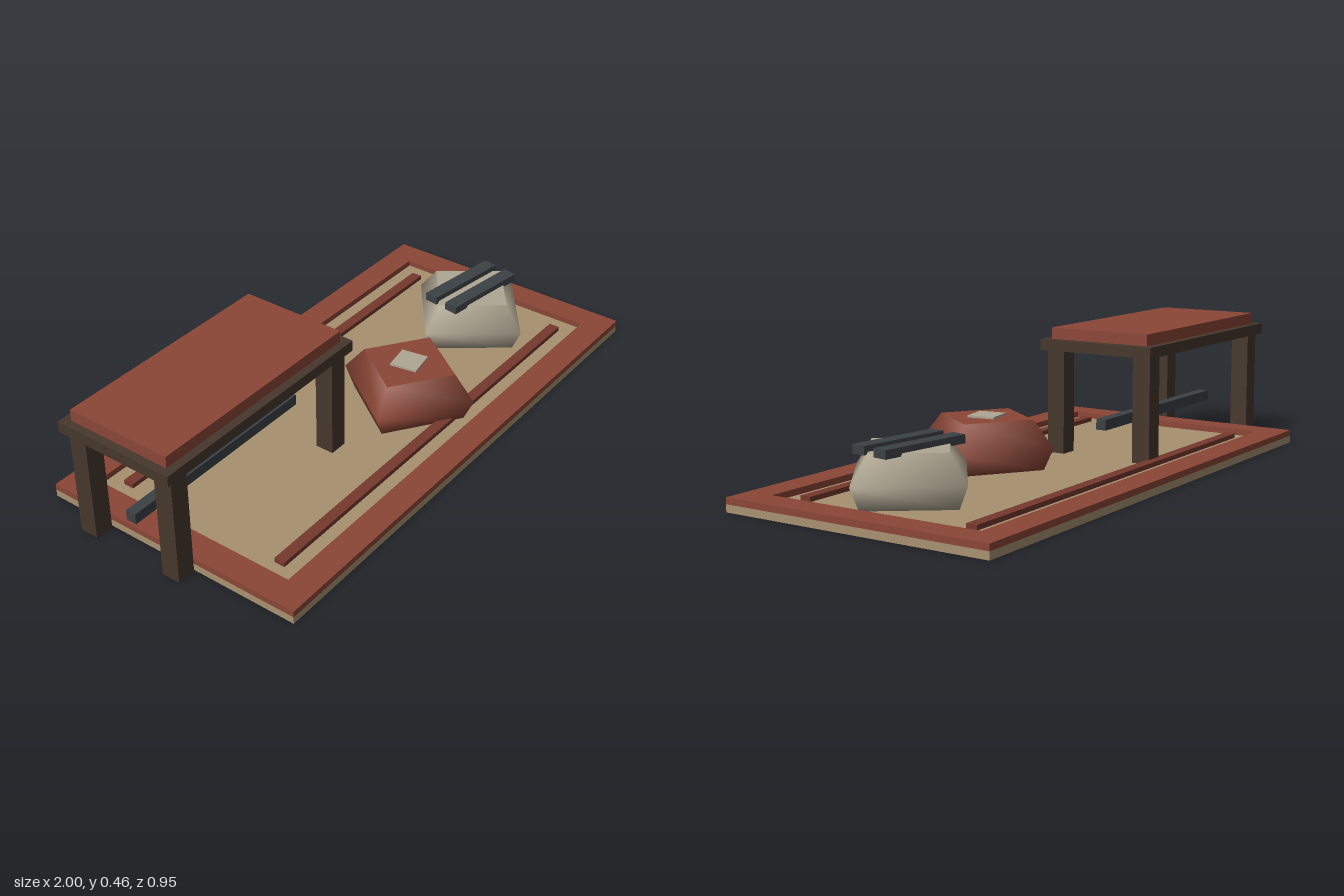
import * as THREE from 'three';

const mat = (color) => new THREE.MeshStandardMaterial({ color });
const red = mat(0x8b4636);
const stripeRed = mat(0x76382d);
const tan = mat(0xa89070);
const wood = mat(0x46372c);
const slate = mat(0x3c4145);
const cloth = mat(0xb0a793);

// Box given by its size and centre
function box(parent, name, material, [w, h, d], [x, y, z]) {
  const mesh = new THREE.Mesh(new THREE.BoxGeometry(w, h, d), material);
  mesh.name = name;
  mesh.position.set(x, y, z);
  parent.add(mesh);
  return mesh;
}

function rectangle(PathType, w, d) {
  return new PathType([
    [-w / 2, -d / 2], [w / 2, -d / 2], [w / 2, d / 2], [-w / 2, d / 2],
  ].map(([x, y]) => new THREE.Vector2(x, y)));
}

// Mat with a raised border and two long stripes
function createMat() {
  const group = new THREE.Group();
  group.name = 'floorMat';
  box(group, 'matBase', tan, [1.904, 0.025, 0.955], [0, 0.0125, 0]);

  const outline = rectangle(THREE.Shape, 1.904, 0.955);
  outline.holes.push(rectangle(THREE.Path, 1.714, 0.765));
  const border = new THREE.Mesh(
    new THREE.ExtrudeGeometry(outline, { depth: 0.021, bevelEnabled: false }), red);
  border.name = 'matBorder';
  border.rotation.x = -Math.PI / 2;
  border.position.y = 0.025;
  group.add(border);

  for (const side of [-1, 1]) {
    box(group, 'matStripe', stripeRed, [1.6, 0.016, 0.038], [-0.004, 0.033, side * 0.306]);
  }
  group.position.x = 0.048;
  return group;
}

// Low table with a padded top and a middle stretcher
function createTable() {
  const group = new THREE.Group();
  group.name = 'table';
  box(group, 'tableFrame', wood, [0.855, 0.037, 0.43], [0, 0.4025, 0]);
  box(group, 'tableTop', red, [0.8, 0.039, 0.373], [0, 0.4405, 0]);
  for (const sx of [-1, 1]) {
    for (const sz of [-1, 1]) {
      box(group, 'tableLeg', wood, [0.065, 0.383, 0.065], [sx * 0.37, 0.1945, sz * 0.168]);
    }
  }
  box(group, 'stretcher', slate, [0.76, 0.037, 0.037], [0, 0.137, 0]);
  group.position.set(-0.5725, 0, -0.095);
  return group;
}

// Four-sided soft bundle, widest below the middle, with a flat top
function createBundle(name, material, x, z, turn) {
  const group = new THREE.Group();
  group.name = name;
  const profile = [
    [0, 0.03], [0.205, 0.03], [0.24, 0.105], [0.168, 0.194], [0.168, 0.194], [0, 0.194],
  ].map(([r, y]) => new THREE.Vector2(r, y));
  const body = new THREE.Mesh(new THREE.LatheGeometry(profile, 4), material);
  body.name = name + 'Body';
  group.add(body);
  group.position.set(x, 0, z);
  group.rotation.y = turn;
  return group;
}

export function createModel() {
  const model = new THREE.Group();
  model.name = 'matWithTableAndBundles';
  model.add(createMat(), createTable());

  // Red bundle with a pale patch on top
  const redBundle = createBundle('redBundle', red, 0.142, 0.142, 0.17);
  box(redBundle, 'patch', cloth, [0.095, 0.014, 0.095], [0, 0.194, 0]);

  // Pale bundle with two dark straps
  const paleBundle = createBundle('paleBundle', cloth, 0.667, 0.048, -0.14);
  for (const side of [-1, 1]) {
    box(paleBundle, 'strap', slate, [0.325, 0.028, 0.05], [0, 0.199, side * 0.046]);
  }

  model.add(redBundle, paleBundle);
  return model;
}
